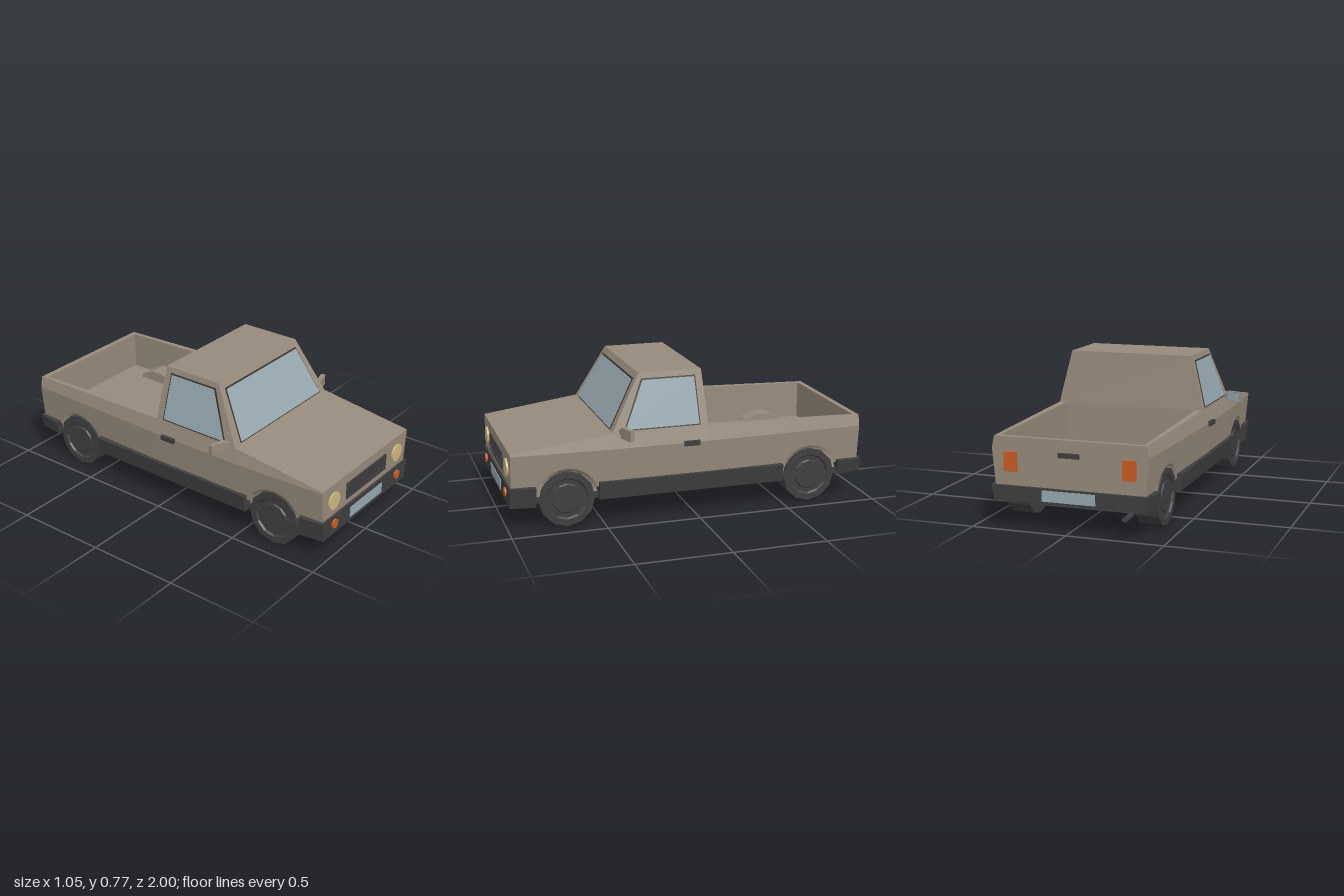
import * as THREE from 'three';

const mat = (name, color, side = THREE.FrontSide) => {
  const m = new THREE.MeshStandardMaterial({ color, side });
  m.name = name;
  return m;
};

export function createModel() {
  const paint = mat('body paint', 0x968a7b, THREE.DoubleSide);
  const dark = mat('dark trim', 0x3e3e3e);
  const seal = mat('window seal', 0x3a342d, THREE.DoubleSide);
  const glass = mat('glass', 0x96a8b0, THREE.DoubleSide);
  const lamp = mat('headlight', 0xcdb97c);
  const orange = mat('orange lamp', 0xc95c20);

  const truck = new THREE.Group();
  truck.name = 'pickupTruck';
  const add = (name, geo, material, x = 0, y = 0, z = 0) => {
    const mesh = new THREE.Mesh(geo, material);
    mesh.name = name;
    mesh.position.set(x, y, z);
    truck.add(mesh);
    return mesh;
  };
  const box = (name, material, w, h, d, x, y, z) => add(name, new THREE.BoxGeometry(w, h, d), material, x, y, z);

  // Flat-shaded surface through rows of points; side -1 mirrors it in x
  const grid = (name, rows, material = paint, side = 1) => {
    const src = side < 0 ? rows.map(r => r.map(([x, y, z]) => [-x, y, z])).reverse() : rows;
    const pos = [];
    for (let r = 0; r < src.length - 1; r++) {
      for (let c = 0; c < src[r].length - 1; c++) {
        const a = src[r][c], b = src[r + 1][c], d = src[r + 1][c + 1], e = src[r][c + 1];
        pos.push(...a, ...b, ...d, ...a, ...d, ...e);
      }
    }
    const g = new THREE.BufferGeometry();
    g.setAttribute('position', new THREE.Float32BufferAttribute(pos, 3));
    g.computeVertexNormals();
    return add(name, g, material);
  };

  // Body rules: half width and top edge along the length
  const FRONT = 0.98, COWL = 0.45, CAB = -0.07, REAR = -0.945, BELT = 0.48, CREASE = 0.4, SILL = 0.2;
  const along = (z, z0, z1) => THREE.MathUtils.clamp((z - z0) / (z1 - z0), 0, 1);
  const sx = (y, z) => {
    const base = y < CREASE ? 0.415 + 0.1 * (y - SILL) : 0.435 - 0.235 * (y - CREASE);
    return base * (1 - 0.055 * Math.max(along(z, COWL, FRONT), along(z, CAB, REAR)));
  };
  const topY = z => BELT - 0.07 * along(z, COWL, FRONT) - 0.02 * along(z, CAB, REAR);

  // Wheel arch outline from front to back
  const WHEELS = [0.69, -0.655], ARCH = 0.167, HUB_Y = 0.147;
  const arc = (zc, r, a0, n = 8) => Array.from({ length: n + 1 }, (_, i) => {
    const a = a0 + (Math.PI - 2 * a0) * i / n;
    return [zc + r * Math.cos(a), HUB_Y + r * Math.sin(a)];
  });
  const a0 = Math.asin((SILL - HUB_Y) / ARCH);
  const stations = [[FRONT, SILL], ...arc(WHEELS[0], ARCH, a0), [COWL, SILL], [CAB, SILL],
    ...arc(WHEELS[1], ARCH, a0), [REAR, SILL]];

  for (const s of [1, -1]) {
    const label = s > 0 ? 'left' : 'right';
    // Body side with crease and arches
    grid(label + 'BodySide', stations.map(([z, y]) =>
      [y, CREASE, topY(z)].map(v => [sx(v, z), v, z])), paint, s);
    // Bed rail and inner wall
    grid(label + 'BedWall', [[CAB, CAB], [REAR, -0.915]].map(([z, zi]) => [
      [sx(topY(z), z), topY(z), z], [0.375, topY(z), zi], [0.375, 0.25, zi]]), paint, s);

    for (const zc of WHEELS) {
      const end = zc > 0 ? 'Front' : 'Rear';
      // Bevelled arch lip
      const outer = arc(zc, ARCH, a0), inner = arc(zc, 0.15, a0);
      grid(label + end + 'ArchLip', outer.map(([z, y], i) => [
        [0.4, inner[i][1], inner[i][0]], [sx(y, z), y, z]]), paint, s);
      // Wheel housing, showing as a hump in the bed
      const shape = new THREE.Shape(arc(zc, ARCH, 0, 7).map(([z, y]) => new THREE.Vector2(-z, y)));
      const hump = new THREE.ExtrudeGeometry(shape, { depth: 0.11, bevelEnabled: false });
      hump.rotateY(Math.PI / 2);
      add(label + end + 'WheelHousing', hump, paint, s > 0 ? 0.275 : -0.385);
      // Twelve-sided wheel with recessed rim and raised hub
      const profile = [[0, -0.06], [0.147, -0.06], [0.147, 0.06], [0.113, 0.06], [0.105, 0.05],
        [0.082, 0.05], [0.076, 0.057], [0, 0.057]].map(p => new THREE.Vector2(...p));
      const wheelGeo = new THREE.LatheGeometry(profile, 12).toNonIndexed();
      wheelGeo.computeVertexNormals();
      add(label + end + 'Wheel', wheelGeo, dark, s * 0.345, HUB_Y, zc).rotation.z = -s * Math.PI / 2;
    }

    // Side window
    const sideX = y => 0.415 - 0.07 * (y - BELT) / 0.29;
    const pane = (o, out) => [[[0.378 + o * 1.4, 0.493 - o], [0.272 + o, 0.735 + o]],
      [[-0.02 - o, 0.493 - o], [-0.008 - o, 0.735 + o]]]
      .map(r => r.map(([z, y]) => [sideX(y) + out, y, z]));
    grid(label + 'WindowSeal', pane(0.007, 0.002), seal, s);
    grid(label + 'Window', pane(0, 0.005), glass, s);

    // Mirror, door handle and lamps
    const mirror = new THREE.Group();
    mirror.name = label + 'Mirror';
    const part = (name, m, w, h, d, x, z) => {
      const p = new THREE.Mesh(new THREE.BoxGeometry(w, h, d), m);
      p.name = name;
      p.position.set(s * x, 0, z);
      mirror.add(p);
    };
    part('mirrorHead', paint, 0.09, 0.058, 0.024, 0.01, 0);
    part('mirrorArm', paint, 0.05, 0.03, 0.018, -0.055, 0);
    part('mirrorGlass', glass, 0.08, 0.05, 0.004, 0.01, -0.013);
    mirror.position.set(s * 0.467, 0.485, 0.388);
    mirror.rotation.y = s * 0.3;
    truck.add(mirror);
    box(label + 'DoorHandle', dark, 0.022, 0.025, 0.085, s * 0.439, 0.398, 0.027);
    const disc = (name, m, r, y, z) => add(name, new THREE.CylinderGeometry(r, r, 0.012, 20), m, s * 0.305, y, z)
      .rotation.x = Math.PI / 2;
    disc(label + 'Headlight', lamp, 0.048, 0.316, 0.984);
    disc(label + 'TurnSignal', orange, 0.025, 0.185, 0.994);
    box(label + 'TailLight', orange, 0.07, 0.1, 0.012, s * 0.31, 0.335, -0.948);
  }

  // Nose, hood and tailgate
  grid('nose', [-1, 1].map(s => [SILL, CREASE, topY(FRONT)].map(y => [s * sx(y, FRONT), y, FRONT])));
  grid('hood', [FRONT, COWL].map(z => [1, -1].map(s => [s * sx(topY(z), z), topY(z), z])));
  grid('tailgate', [1, -1].map(s => [
    ...[SILL, CREASE, topY(REAR)].map(y => [s * sx(y, REAR), y, REAR]),
    [s * 0.375, topY(REAR), -0.915], [s * 0.375, 0.25, -0.915]]));
  grid('bedFloor', [CAB, -0.915].map(z => [1, -1].map(s => [s * 0.375, 0.25, z])));
  grid('bedFrontWall', [1, -1].map(s => [0.25, BELT].map(y => [s * 0.39, y, CAB])));

  // Cab shell and roof
  const corners = [[-1, 1], [1, 1], [1, 0], [-1, 0], [-1, 1]];
  grid('cab', corners.map(([s, f]) => [
    [s * 0.415, BELT, f ? COWL : CAB], [s * 0.345, 0.77, f ? 0.29 : -0.05]]));
  grid('roof', [0.29, -0.05].map(z => [1, -1].map(s => [s * 0.345, 0.77, z])));

  // Windshield
  const screen = (o, out) => [-1, 1].map(s => [[0.36, 0.492 - o], [0.312, 0.733 + o]]
    .map(([x, y]) => [s * (x + o), y, COWL - 0.16 * (y - BELT) / 0.29 + out]));
  grid('windshieldSeal', screen(0.006, 0.003), seal);
  grid('windshield', screen(0, 0.007), glass);

  // Bumpers and sill: boxes narrowed downward and toward the ends
  const slab = (name, halfW, y0, y1, z0, z1, frontTaper, rearTaper) => {
    const g = new THREE.BoxGeometry(2 * halfW, y1 - y0, z1 - z0);
    const p = g.attributes.position;
    for (let i = 0; i < p.count; i++) {
      const k = 1 - (p.getY(i) < 0 ? 0.03 : 0) - (p.getZ(i) > 0 ? frontTaper : rearTaper);
      p.setX(i, p.getX(i) * k);
    }
    g.computeVertexNormals();
    add(name, g, dark, 0, (y0 + y1) / 2, (z0 + z1) / 2);
  };
  slab('frontBumper', 0.432, 0.123, 0.23, 0.855, 0.99, 0.045, 0);
  slab('sill', 0.438, 0.133, 0.228, -0.492, 0.525, 0, 0);
  slab('rearBumper', 0.43, 0.138, 0.215, -0.96, -0.82, 0, 0.045);
  box('underside', dark, 0.8, 0.03, 1.85, 0, 0.153, 0.01);

  // Grille with rounded slots
  const plate = new THREE.Shape([[-0.19, 0.27], [0.19, 0.27], [0.19, 0.36], [-0.19, 0.36]]
    .map(p => new THREE.Vector2(...p)));
  for (let i = 0; i < 10; i++) {
    const x = (i - 4.5) * 0.0365, slot = new THREE.Path();
    slot.absarc(x, 0.338, 0.01, 0, Math.PI);
    slot.absarc(x, 0.292, 0.01, Math.PI, 2 * Math.PI);
    slot.closePath();
    plate.holes.push(slot);
  }
  add('grille', new THREE.ExtrudeGeometry(plate, { depth: 0.007, bevelEnabled: false, curveSegments: 5 }),
    dark, 0, 0, 0.982);
  box('grilleBack', dark, 0.37, 0.08, 0.004, 0, 0.315, 0.981);

  // Plates, tailgate handle and exhaust
  box('frontPlate', glass, 0.31, 0.058, 0.006, 0, 0.175, 0.991);
  box('rearPlate', glass, 0.28, 0.056, 0.006, 0, 0.178, -0.961);
  box('tailgateHandle', dark, 0.11, 0.024, 0.016, 0, 0.385, -0.95);
  const pipe = new THREE.CatmullRomCurve3([[0.14, -0.82], [0.115, -0.88], [0.108, -0.93], [0.108, -1]]
    .map(([y, z]) => new THREE.Vector3(-0.305, y, z)));
  add('exhaust', new THREE.TubeGeometry(pipe, 8, 0.014, 8), dark);
  add('exhaustTip', new THREE.CircleGeometry(0.014, 8), dark, -0.305, 0.108, -1).rotation.y = Math.PI;

  return truck;
}
